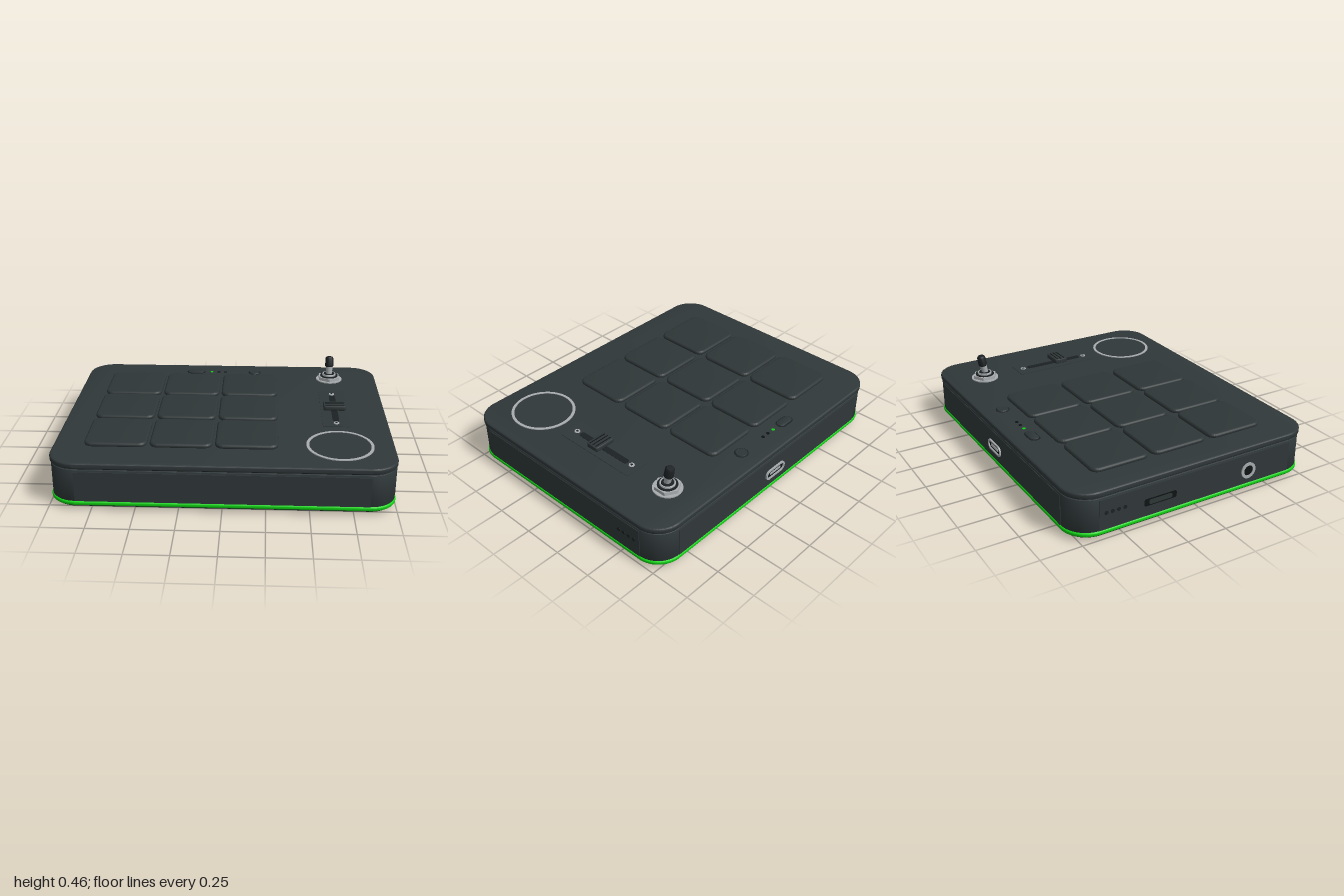
import * as THREE from 'three';
import { toCreasedNormals } from 'three/addons/utils/BufferGeometryUtils.js';

const paint = (name, color) => {
  const m = new THREE.MeshStandardMaterial({ color });
  m.name = name;
  return m;
};

// Rounded rectangle outline centred on the origin
function roundedRect(w, h, r, Type = THREE.Shape) {
  const x = w / 2, y = h / 2, s = new Type();
  s.moveTo(-x + r, -y);
  s.lineTo(x - r, -y);
  s.absarc(x - r, -y + r, r, -Math.PI / 2, 0);
  s.lineTo(x, y - r);
  s.absarc(x - r, y - r, r, 0, Math.PI / 2);
  s.lineTo(-x + r, y);
  s.absarc(-x + r, y - r, r, Math.PI / 2, Math.PI);
  s.lineTo(-x, -y + r);
  s.absarc(-x + r, -y + r, r, Math.PI, Math.PI * 1.5);
  return s;
}

export function createModel() {
  const shell = paint('charcoalShell', 0x30383a);
  const pad = paint('charcoalPad', 0x2e3637);
  const dark = paint('darkTrim', 0x1c2123);
  const black = paint('blackRecess', 0x101314);
  const glow = paint('greenGlow', 0x10d414);
  const silver = paint('silver', 0xa9adaf);

  const model = new THREE.Group();
  model.name = 'padController';

  function add(parent, name, geometry, material, x = 0, y = 0, z = 0) {
    const m = new THREE.Mesh(geometry, material);
    m.name = name;
    m.position.set(x, y, z);
    parent.add(m);
    return m;
  }
  function group(name, x, y, z, parent = model) {
    const g = new THREE.Group();
    g.name = name;
    g.position.set(x, y, z);
    parent.add(g);
    return g;
  }
  // Upright slab with rounded corners, standing on y = 0; wall > 0 leaves only a frame
  function slab(w, d, r, h, bevel = 0, wall = 0) {
    const shape = roundedRect(w, d, r);
    if (wall) shape.holes.push(roundedRect(w - 2 * wall, d - 2 * wall, r - wall, THREE.Path));
    const g = new THREE.ExtrudeGeometry(shape, {
      depth: h - 2 * bevel, curveSegments: 16, bevelEnabled: bevel > 0,
      bevelThickness: bevel, bevelSize: bevel, bevelOffset: -bevel, bevelSegments: 4,
    });
    g.translate(0, 0, bevel).rotateX(-Math.PI / 2);
    return toCreasedNormals(g, 0.6);
  }
  // Cylinder standing on y = 0
  const post = (rTop, rBottom, h, sides = 32) =>
    new THREE.CylinderGeometry(rTop, rBottom, h, sides).translate(0, h / 2, 0);
  // Flat ring standing on y = 0
  const ring = (r, wall, h) => {
    const s = new THREE.Shape().absarc(0, 0, r, 0, Math.PI * 2);
    s.holes.push(new THREE.Path().absarc(0, 0, r - wall, 0, Math.PI * 2));
    const g = new THREE.ExtrudeGeometry(s, { depth: h, bevelEnabled: false, curveSegments: 32 });
    return toCreasedNormals(g.rotateX(-Math.PI / 2), 0.6);
  };

  // Case layers, bottom to top
  add(model, 'basePlate', slab(1.97, 1.57, 0.15, 0.014), dark, 0, 0.02, 0);
  add(model, 'lightStrip', slab(2, 1.6, 0.16, 0.028, 0.01), glow, 0, 0.028, 0);
  add(model, 'body', slab(1.988, 1.588, 0.155, 0.201, 0.003), shell, 0, 0.052, 0);
  add(model, 'seam', slab(1.965, 1.565, 0.15, 0.016), black, 0, 0.25, 0);
  add(model, 'topPlate', slab(2, 1.6, 0.16, 0.037, 0.01), shell, 0, 0.259, 0);

  // Thin wall panels between the rounded corners
  for (const s of [-1, 1]) {
    add(model, 'longWallPanel', new THREE.BoxGeometry(1.68, 0.184, 0.005), shell, 0, 0.148, s * 0.795);
    add(model, 'shortWallPanel', new THREE.BoxGeometry(0.005, 0.184, 1.29), shell, s * 0.995, 0.148, 0);
  }

  // Feet
  for (const x of [-0.765, 0.765])
    for (const z of [-0.577, 0.577]) add(model, 'foot', post(0.065, 0.062, 0.024), dark, x, 0, z);

  // Three by three pads
  const padShape = slab(0.37, 0.37, 0.05, 0.03, 0.014);
  for (const x of [-0.635, -0.25, 0.134])
    for (const z of [-0.395, -0.005, 0.39]) add(model, 'pad', padShape, pad, x, 0.289, z);

  // Row of small buttons and lights behind the pads
  const row = group('buttonRow', 0, 0.295, -0.665);
  add(row, 'pillRim', slab(0.128, 0.07, 0.034, 0.002), dark, -0.25);
  add(row, 'pillButton', slab(0.114, 0.056, 0.027, 0.008, 0.003), pad, -0.25);
  add(row, 'roundRim', post(0.043, 0.043, 0.002), dark, 0.163);
  add(row, 'roundButton', post(0.034, 0.038, 0.008), pad, 0.163);
  [-0.14, -0.09, -0.042].forEach((x, i) =>
    add(row, 'indicator', post(0.011, 0.011, 0.003, 16), i ? black : glow, x));

  // Touch dial
  const dial = group('touchDial', 0.68, 0.295, 0.505);
  add(dial, 'dialRing', ring(0.198, 0.017, 0.006), silver);
  add(dial, 'dialSurface', post(0.181, 0.181, 0.003, 64), shell);

  // Fader: plate, slot, screws and cap
  const fader = group('fader', 0.68, 0.295, -0.043);
  add(fader, 'faderPlate', slab(0.17, 0.57, 0.015, 0.004), shell);
  add(fader, 'faderSlot', slab(0.04, 0.4, 0.015, 0.006), dark);
  for (const s of [-1, 1]) {
    add(fader, 'faderScrew', post(0.017, 0.02, 0.008, 20), silver, 0, 0, s * 0.233);
    add(fader, 'screwSocket', post(0.008, 0.008, 0.0095, 6), dark, 0, 0, s * 0.233);
  }
  const cap = group('faderCap', 0, 0, 0.028, fader);
  add(cap, 'capStem', new THREE.BoxGeometry(0.03, 0.03, 0.05), dark, 0, 0.015, 0);
  add(cap, 'capBody', slab(0.14, 0.088, 0.012, 0.03, 0.005), pad, 0, 0.016, 0);
  for (const z of [-0.024, 0, 0.024])
    add(cap, 'capGroove', new THREE.BoxGeometry(0.12, 0.002, 0.006), black, 0, 0.0465, z);

  // Toggle stick: washer, hex nut, threaded bushing and tilted lever
  const toggle = group('toggleSwitch', 0.68, 0.295, -0.56);
  add(toggle, 'washer', post(0.088, 0.088, 0.008, 40), silver);
  add(toggle, 'hexNut', toCreasedNormals(post(0.078, 0.08, 0.028, 6), 0.5), silver);
  add(toggle, 'nutTop', post(0.06, 0.062, 0.034), dark);
  for (const y of [0.033, 0.041])
    add(toggle, 'thread', new THREE.TorusGeometry(0.042, 0.005, 8, 32).rotateX(Math.PI / 2), silver, 0, y, 0);
  add(toggle, 'bushing', post(0.036, 0.042, 0.046), dark);
  const lever = group('lever', 0, 0.03, 0.005, toggle);
  lever.rotation.x = -0.2;
  add(lever, 'leverStem', post(0.025, 0.019, 0.08, 24), silver);
  const capProfile = [[0, 0.06], [0.022, 0.06], [0.029, 0.068], [0.027, 0.122], [0.021, 0.132], [0, 0.133]]
    .map(([r, y]) => new THREE.Vector2(r, y));
  add(lever, 'leverCap', toCreasedNormals(new THREE.LatheGeometry(capProfile, 28), 0.6), dark);

  // USB style port on the back wall
  const port = group('backPort', 0, 0.14, -0.795);
  port.rotation.x = -Math.PI / 2;
  add(port, 'portRim', slab(0.176, 0.068, 0.033, 0.012, 0, 0.012), silver);
  add(port, 'portRecess', slab(0.154, 0.046, 0.022, 0.005), black);
  add(port, 'portTongue', slab(0.1, 0.014, 0.005, 0.009), silver);

  // Right wall: audio jack and slide switch
  const rightWall = group('rightWall', -0.995, 0.14, 0);
  rightWall.rotation.z = Math.PI / 2;
  add(rightWall, 'jackRing', ring(0.05, 0.018, 0.009), silver, 0, 0, 0.345);
  add(rightWall, 'jackHole', post(0.033, 0.033, 0.005), black, 0, 0, 0.345);
  add(rightWall, 'switchSlot', slab(0.044, 0.21, 0.012, 0.004), black, 0, 0, -0.26);
  add(rightWall, 'switchSlider', slab(0.028, 0.15, 0.01, 0.007), pad, 0, 0, -0.26);

  // Vent holes on both short walls
  for (const s of [-1, 1])
    for (let i = 0; i < 4; i++) {
      const vent = add(model, 'ventHole', post(0.012, 0.012, 0.004, 16), dark, s * 0.995, 0.157, -0.487 - i * 0.039);
      vent.rotation.z = -s * Math.PI / 2;
    }

  return model;
}
